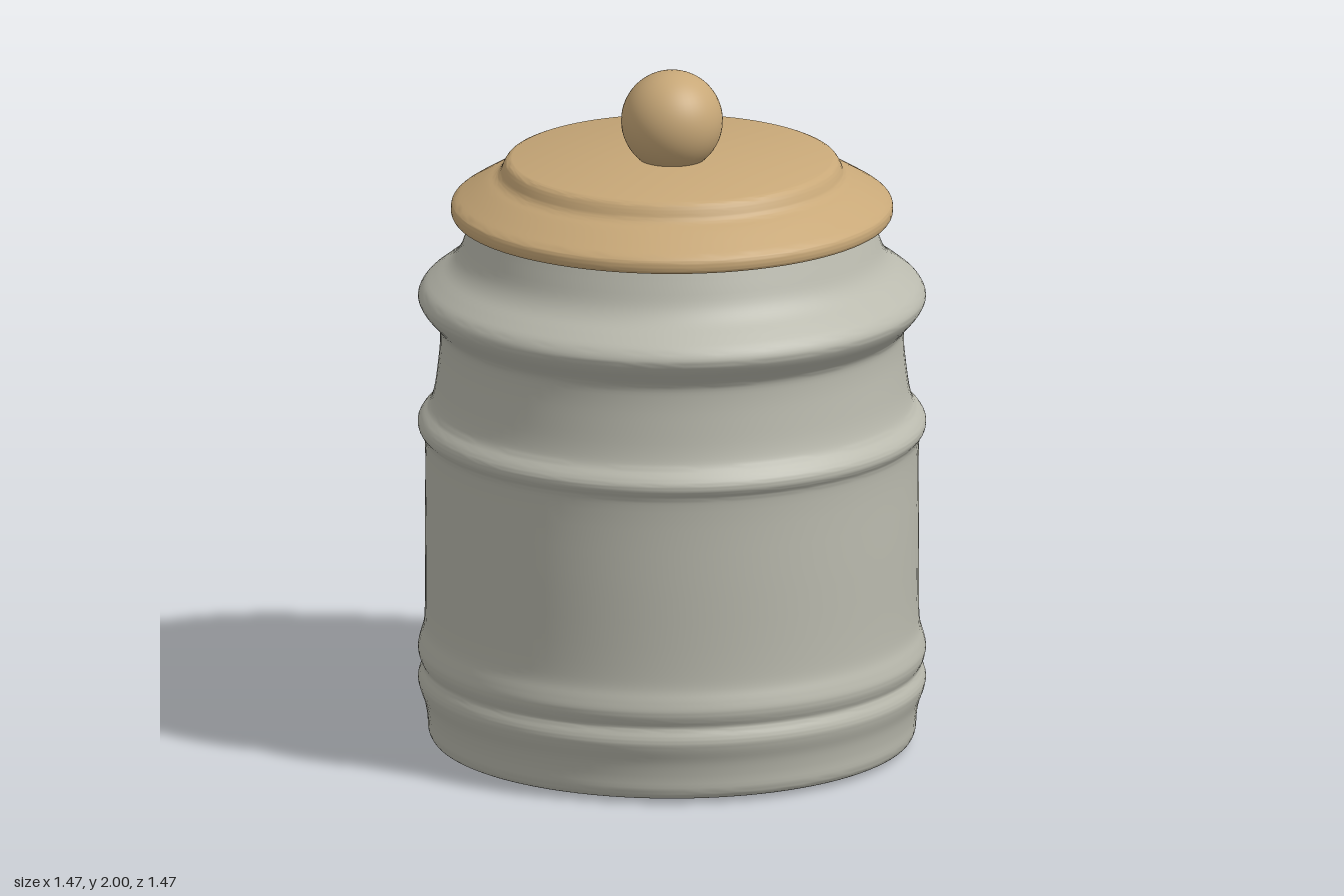
import * as THREE from 'three';
import { toCreasedNormals } from 'three/addons/utils/BufferGeometryUtils.js';

const SEGMENTS = 96;

const stoneware = new THREE.MeshStandardMaterial({ color: 0xbabaae });
stoneware.name = 'grey stoneware';
const wood = new THREE.MeshStandardMaterial({ color: 0xc8a878 });
wood.name = 'tan wood';

// Smooth curve through [radius, height] points
function smooth(points, divisions) {
  const curve = new THREE.CatmullRomCurve3(
    points.map(([r, y]) => new THREE.Vector3(r, y, 0)), false, 'centripetal');
  return curve.getPoints(divisions).map((p) => new THREE.Vector2(p.x, p.y));
}

// Turned part: profile runs from the bottom axis, up the outside, to the top axis
function turned(name, profile, material) {
  const geometry = toCreasedNormals(new THREE.LatheGeometry(profile, SEGMENTS), 0.7);
  const mesh = new THREE.Mesh(geometry, material);
  mesh.name = name;
  return mesh;
}

export function createModel() {
  const model = new THREE.Group();
  model.name = 'lidded jar';

  // Jar: rounded foot, two low beads, straight wall, waist band, flared shoulder, neck
  const jarSide = smooth([
    [0.66, 0.01], [0.69, 0.016], [0.702, 0.035], [0.706, 0.08], [0.714, 0.125],
    [0.728, 0.165], [0.733, 0.19], [0.728, 0.21], [0.719, 0.232],
    [0.728, 0.255], [0.733, 0.28], [0.727, 0.31], [0.717, 0.345], [0.713, 0.4],
    [0.713, 0.65], [0.713, 0.89], [0.718, 0.92], [0.731, 0.94], [0.733, 0.96],
    [0.722, 0.98], [0.7, 1.005], [0.688, 1.04], [0.676, 1.12], [0.669, 1.2],
    [0.672, 1.24], [0.69, 1.265], [0.72, 1.3], [0.733, 1.33], [0.72, 1.36],
    [0.685, 1.39], [0.64, 1.425], [0.614, 1.46], [0.592, 1.52],
    [0.573, 1.575], [0.54, 1.66],
  ], 130);
  model.add(turned('jar', [
    new THREE.Vector2(0, 0), new THREE.Vector2(0.62, 0),
    ...jarSide, new THREE.Vector2(0, 1.66),
  ], stoneware));

  // Lid: rolled rim, sloping collar, small step and flat top
  const lidSide = smooth([
    [0.632, 1.571], [0.637, 1.58], [0.637, 1.603], [0.631, 1.613],
    [0.59, 1.64], [0.535, 1.672], [0.508, 1.686], [0.496, 1.698],
    [0.487, 1.718], [0.476, 1.734], [0.462, 1.741],
  ], 40);
  model.add(turned('lid', [
    new THREE.Vector2(0, 1.571), ...lidSide, new THREE.Vector2(0, 1.741),
  ], wood));

  // Knob: ball resting slightly sunk into the lid
  const knob = new THREE.Mesh(new THREE.SphereGeometry(0.147, 48, 32), wood);
  knob.name = 'knob';
  knob.position.y = 1.853;
  model.add(knob);

  return model;
}
